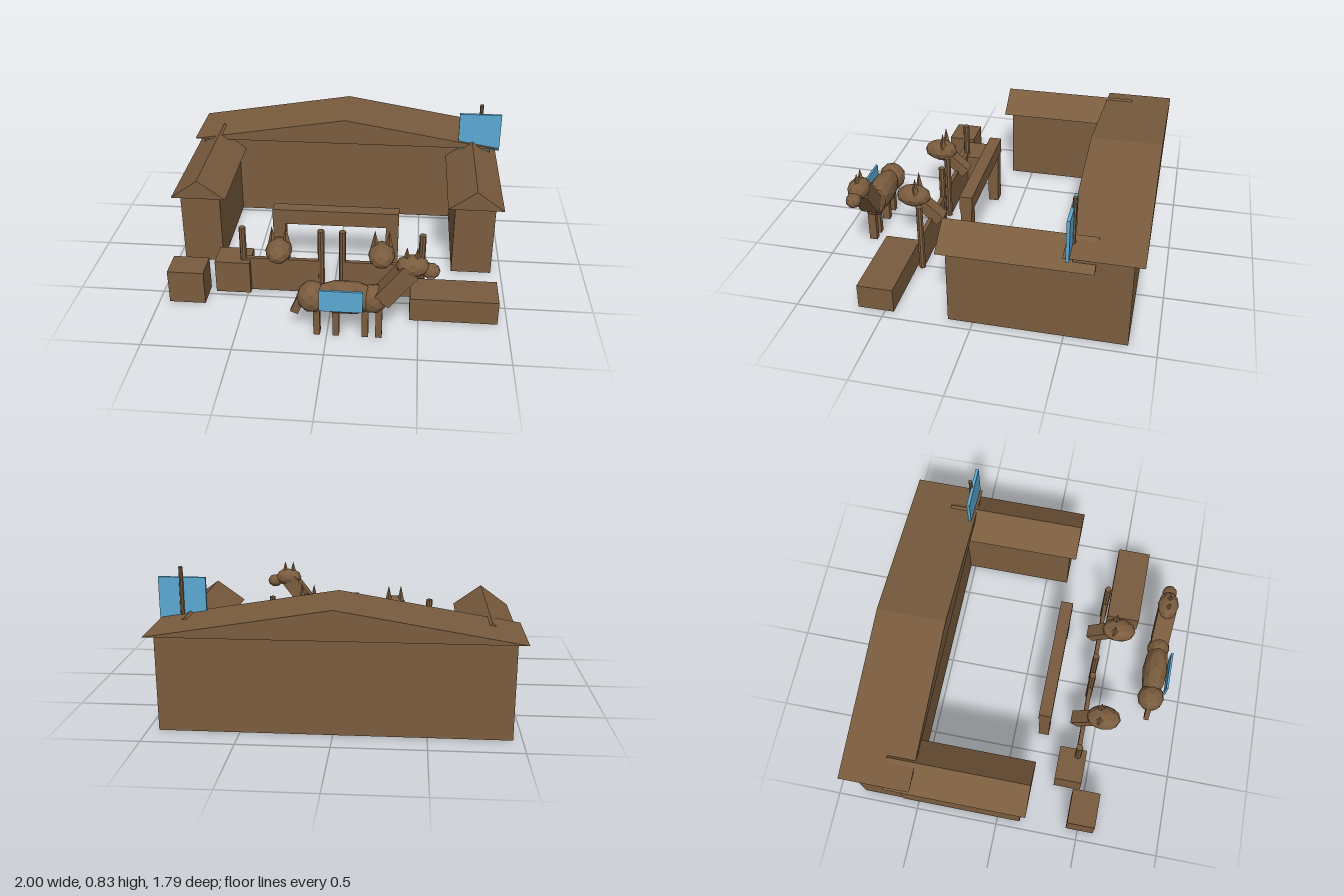
import * as THREE from 'three';

const wood = new THREE.MeshStandardMaterial({ color: 0x7a5c3e, flatShading: true });
wood.name = 'brown wood';
const blue = new THREE.MeshStandardMaterial({ color: 0x5aa9d2, flatShading: true });
blue.name = 'sign blue';

function add(parent, name, geometry, position, material = wood) {
  const mesh = new THREE.Mesh(geometry, material);
  mesh.name = name;
  mesh.position.set(...position);
  parent.add(mesh);
  return mesh;
}

// Box given by its limits on each axis
function block(parent, name, [x0, x1], [y0, y1], [z0, z1], material = wood) {
  return add(parent, name, new THREE.BoxGeometry(x1 - x0, y1 - y0, z1 - z0),
    [(x0 + x1) / 2, (y0 + y1) / 2, (z0 + z1) / 2], material);
}

// Gable prism with its ridge along z
function gable(parent, name, [x0, x1], [y0, y1], [z0, z1]) {
  const shape = new THREE.Shape([
    new THREE.Vector2(x0, y0), new THREE.Vector2(x1, y0), new THREE.Vector2((x0 + x1) / 2, y1)]);
  const geometry = new THREE.ExtrudeGeometry(shape, { depth: z1 - z0, bevelEnabled: false });
  return add(parent, name, geometry, [0, 0, z0]);
}

// Faceted ellipsoid with the given half sizes
function lump(parent, name, position, half, detail = 0) {
  const k = detail ? 1 : 1 / 0.851;
  const geometry = new THREE.IcosahedronGeometry(1, detail).scale(half[0] * k, half[1] * k, half[2] * k);
  return add(parent, name, geometry, position);
}

function ear(parent, position, height) {
  return add(parent, 'ear', new THREE.ConeGeometry(0.024, height, 4), position);
}

function stable() {
  const g = new THREE.Group();
  g.name = 'stable';
  block(g, 'mainHall', [-0.95, 0.94], [0, 0.54], [-0.845, -0.53]);
  gable(g, 'mainRoof', [-1, 0.985], [0.54, 0.705], [-0.9, -0.485]);
  for (const [side, x] of [['left', 0.82], ['right', -0.835]]) {
    block(g, side + 'Wing', [x - 0.12, x + 0.12], [0, 0.46], [-0.6, 0.14]);
    gable(g, side + 'WingRoof', [x - 0.165, x + 0.165], [0.46, 0.58], [-0.65, 0.185]);
  }
  // Sign on a pole above the roof
  add(g, 'signPole', new THREE.CylinderGeometry(0.012, 0.012, 0.33, 8), [0.865, 0.665, -0.522]);
  block(g, 'roofSign', [0.73, 0.995], [0.525, 0.77], [-0.52, -0.502], blue);
  return g;
}

// Stall front with two posts and a horse looking over it
function stall(x) {
  const g = new THREE.Group();
  g.name = 'stall';
  block(g, 'stallPanel', [-0.228, 0.228], [0, 0.22], [0.408, 0.433]);
  for (const s of [-1, 1]) {
    add(g, 'stallPost', new THREE.CylinderGeometry(0.02, 0.02, 0.42, 8), [s * 0.228, 0.21, 0.42]);
    ear(g, [s * 0.04, 0.433, 0.505], 0.11);
  }
  const neck = add(g, 'horseNeck', new THREE.BoxGeometry(0.08, 0.21, 0.07), [0, 0.275, 0.44]);
  neck.rotation.x = 0.86;
  lump(g, 'horseHead', [0, 0.347, 0.53], [0.076, 0.066, 0.105], 1);
  g.position.x = x;
  return g;
}

// Horse standing side-on, facing its own +x
function standingHorse() {
  const g = new THREE.Group();
  g.name = 'standingHorse';
  lump(g, 'rump', [-0.08, 0.235, 0], [0.085, 0.09, 0.083], 1);
  lump(g, 'barrel', [0.1, 0.24, 0], [0.2, 0.1, 0.078], 1);
  lump(g, 'chest', [0.25, 0.24, 0], [0.08, 0.085, 0.07], 1);
  for (const x of [-0.055, 0.05, 0.21, 0.285]) {
    block(g, 'leg', [x - 0.018, x + 0.018], [0, 0.2], [-0.018, 0.03]);
  }
  const neck = add(g, 'neck', new THREE.BoxGeometry(0.1, 0.25, 0.11), [0.37, 0.35, 0]);
  neck.rotation.z = -0.65;
  lump(g, 'skull', [0.455, 0.463, 0], [0.09, 0.06, 0.065], 1);
  lump(g, 'muzzle', [0.55, 0.437, 0], [0.05, 0.043, 0.045], 1);
  for (const x of [0.422, 0.477]) ear(g, [x, 0.53, 0], 0.09);
  const tail = add(g, 'tail', new THREE.BoxGeometry(0.045, 0.13, 0.03), [-0.155, 0.19, 0]);
  tail.rotation.z = -0.4;
  block(g, 'flankSign', [-0.035, 0.2], [0.205, 0.335], [0.077, 0.09], blue);
  g.position.z = 0.8;
  return g;
}

export function createModel() {
  const model = new THREE.Group();
  model.name = 'stableYard';
  model.add(stable(), stall(-0.298), stall(0.283), standingHorse());

  // Gateway beam and its posts
  block(model, 'gateBeam', [-0.38, 0.37], [0.335, 0.43], [0.145, 0.22]);
  block(model, 'gatePost', [-0.38, -0.305], [0, 0.335], [0.15, 0.215]);
  block(model, 'gatePost', [0.295, 0.37], [0, 0.335], [0.15, 0.215]);

  // Hay bales and trough
  block(model, 'hayBale', [-0.94, -0.73], [0, 0.205], [0.427, 0.595]);
  block(model, 'hayBale', [-0.69, -0.485], [0, 0.205], [0.305, 0.47]);
  block(model, 'trough', [0.45, 0.945], [0, 0.145], [0.45, 0.657]);
  return model;
}
